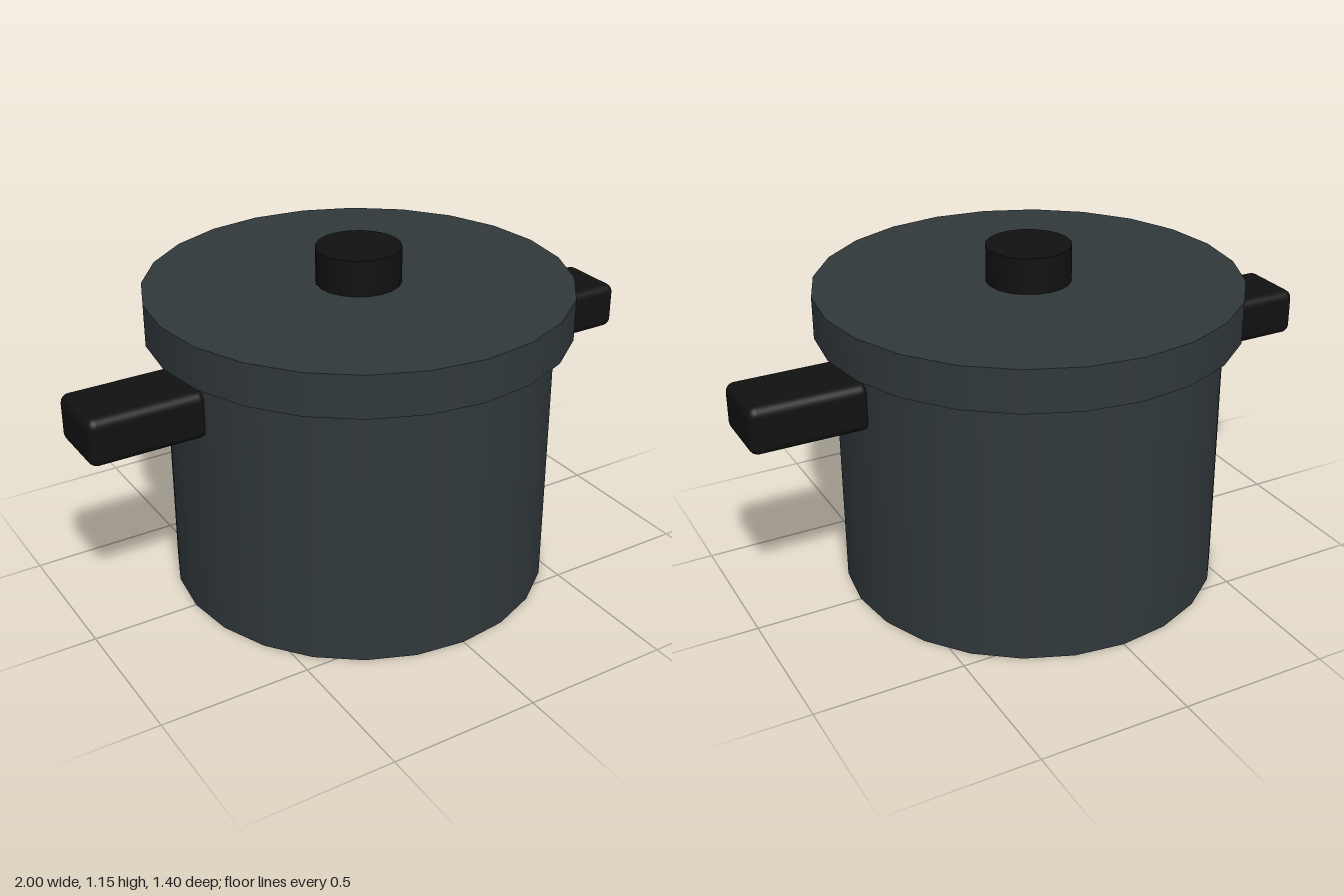
import * as THREE from 'three';
import { RoundedBoxGeometry } from 'three/addons/geometries/RoundedBoxGeometry.js';

export function createModel() {
  const group = new THREE.Group();
  const metal = new THREE.MeshStandardMaterial({ color: 0x30383b });
  const grip = new THREE.MeshStandardMaterial({ color: 0x111111 });

  function add(name, geometry, material, x, y) {
    const mesh = new THREE.Mesh(geometry, material);
    mesh.name = name;
    mesh.position.set(x, y, 0);
    group.add(mesh);
  }

  // Upright disc spanning bottom to top
  function disc(name, radius, bottom, top, sides, material) {
    const geometry = new THREE.CylinderGeometry(radius, radius, top - bottom, sides);
    add(name, geometry, material, 0, (bottom + top) / 2);
  }

  // Pot body, with the lid floating just above its rim
  disc('potBody', 0.64, 0, 0.88, 24, metal);
  disc('lid', 0.7, 0.89, 1.03, 24, metal);
  disc('lidKnob', 0.14, 1.03, 1.15, 20, grip);

  // Side handles, slightly sunk into the body
  for (const [name, side] of [['leftHandle', 1], ['rightHandle', -1]]) {
    add(name, new RoundedBoxGeometry(0.39, 0.16, 0.24, 3, 0.03), grip, side * 0.805, 0.76);
  }

  return group;
}
